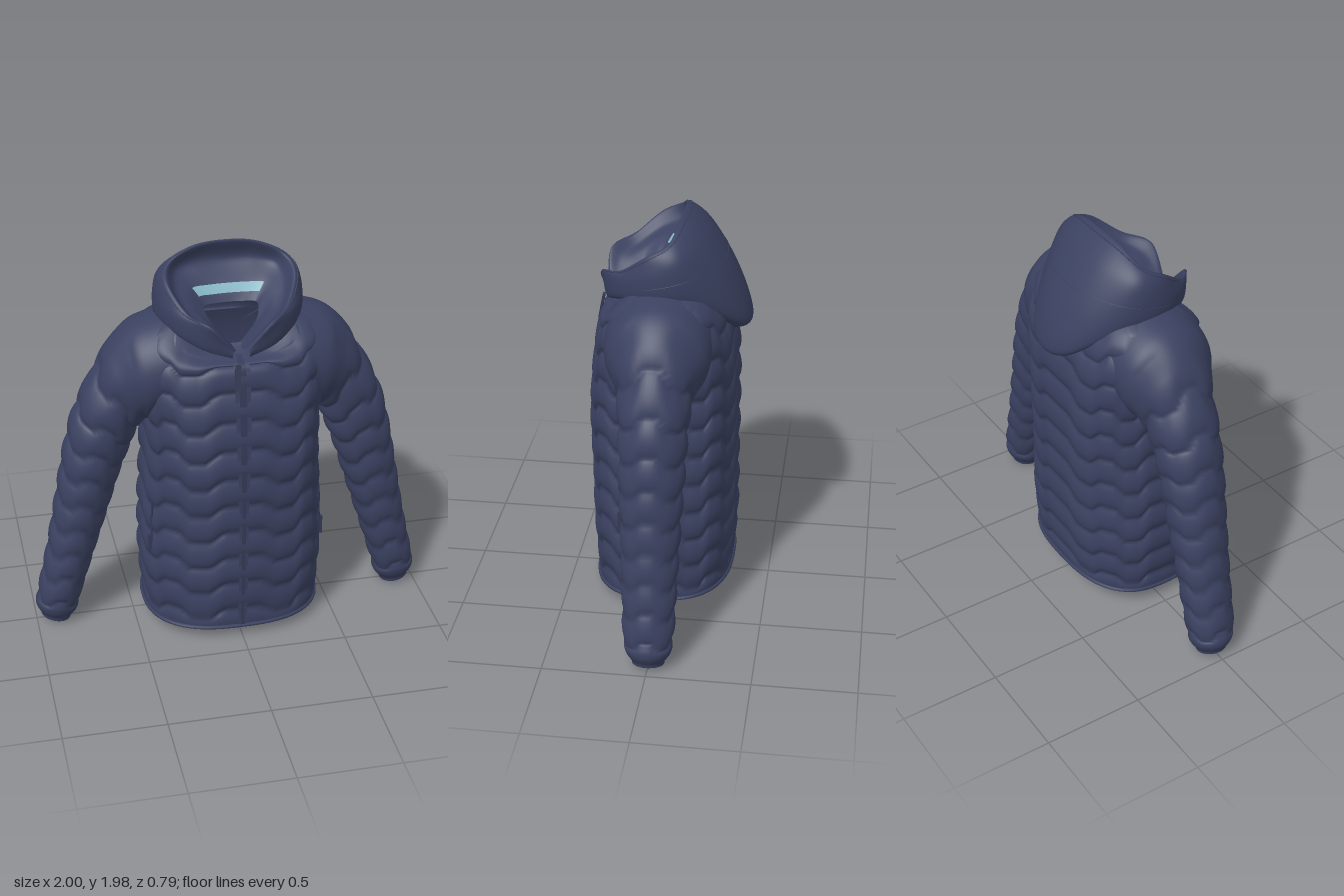
import * as THREE from 'three';

const mat = (name, color) => {
  const m = new THREE.MeshStandardMaterial({ color, side: THREE.DoubleSide });
  m.name = name;
  return m;
};
const { clamp, smoothstep } = THREE.MathUtils;

// Catmull-Rom through a list of equal-length arrays, t measured in list steps
function spline(keys, t) {
  const n = keys.length - 1;
  const i = Math.min(Math.floor(t), n - 1), f = t - i;
  const at = k => keys[clamp(k, 0, n)];
  const [a, b, c, d] = [at(i - 1), at(i), at(i + 1), at(i + 2)];
  return b.map((_, k) => 0.5 * (2 * b[k] + (c[k] - a[k]) * f
    + (2 * a[k] - 5 * b[k] + 4 * c[k] - d[k]) * f * f
    + (3 * b[k] - a[k] - 3 * c[k] + d[k]) * f * f * f));
}

// Smooth surface from fn(u, v) -> [x, y, z]; closed wraps around u
function sheet(fn, [u0, u1, nu], [v0, v1, nv], closed = false) {
  const pos = [], idx = [], cols = closed ? nu : nu + 1;
  for (let j = 0; j <= nv; j++)
    for (let i = 0; i < cols; i++)
      pos.push(...fn(u0 + (u1 - u0) * i / nu, v0 + (v1 - v0) * j / nv));
  for (let j = 0; j < nv; j++)
    for (let i = 0; i < nu; i++) {
      const a = j * cols + i, b = j * cols + (i + 1) % cols;
      idx.push(a, b, b + cols, a, b + cols, a + cols);
    }
  const g = new THREE.BufferGeometry();
  g.setAttribute('position', new THREE.Float32BufferAttribute(pos, 3));
  g.setIndex(idx);
  g.computeVertexNormals();
  return g;
}

// Padded quilt: 0 in the stitched line, 1 on the puff, fuller towards the bottom
function puff(phase) {
  const f = phase - Math.floor(phase);
  return Math.pow(Math.sin(Math.PI * Math.pow(f, 0.8)), 0.6);
}
const wave = a => clamp(1.7 * Math.cos(a), -1, 1);

// Torso sections: height, half width, front z, back z
const torso = [
  [0.085, 0.445, 0.365, 0.315], [0.35, 0.465, 0.385, 0.335], [0.65, 0.46, 0.39, 0.335],
  [0.95, 0.44, 0.395, 0.335], [1.2, 0.44, 0.38, 0.33], [1.4, 0.465, 0.355, 0.315],
  [1.54, 0.455, 0.325, 0.28], [1.63, 0.41, 0.275, 0.22], [1.7, 0.27, 0.2, 0.12],
];
function torsoPoint(u, t, padded = true, lift = 0) {
  let [y, w, zf, zb] = spline(torso, t);
  const s = Math.sin(u), c = Math.cos(u);
  const front = Math.max(0, c);
  const pad = smoothstep(y, 0.1, 0.16) * (1 - smoothstep(y, 1.55, 1.66));
  const q = padded ? puff((y - 0.028 * wave(8 * u)) / 0.15) : 0.75;
  const out = lift - 0.024 * (1 - q) * pad;
  const e = 0.77 - 0.13 * smoothstep(y, 0.6, 1.2);             // boxier at the chest
  const x = w * Math.sign(s) * Math.abs(s) ** e;
  const z = (c > 0 ? zf : -zb) * Math.abs(c) ** e;
  y -= 0.13 * front ** 4 * smoothstep(y, 1.46, 1.7);           // neckline dips in front
  y -= 0.02 * c * (1 - smoothstep(y, 0.05, 0.3));              // hem drops in front
  return [x + s * out, y, z + c * out];
}

// Sleeve sections from shoulder to turned-in cuff: outer x, y, inner x, y, half depth
const sleeve = [
  [0.27, 1.7, 0.4, 1.2, 0.26], [0.475, 1.64, 0.42, 1.15, 0.245], [0.595, 1.525, 0.44, 1.12, 0.2],
  [0.685, 1.375, 0.46, 1.08, 0.178], [0.77, 1.2, 0.49, 1.0, 0.168], [0.825, 1.0, 0.54, 0.87, 0.16],
  [0.875, 0.74, 0.61, 0.65, 0.147], [0.93, 0.45, 0.69, 0.4, 0.135], [0.985, 0.2, 0.765, 0.16, 0.125],
  [1.0, 0.11, 0.79, 0.07, 0.11], [0.98, 0.058, 0.82, 0.03, 0.082], [0.972, 0.04, 0.832, 0.01, 0.075],
  [0.95, 0.1, 0.85, 0.08, 0.06],
];
function sleevePoint(side, a, t) {
  const [ox, oy, ix, iy, d] = spline(sleeve, t);
  const cx = (ox + ix) / 2, cy = (oy + iy) / 2;
  const q = puff((cy - 0.02 * wave(4 * a)) / 0.14);
  const k = 1 - 0.13 * (1 - q) * smoothstep(t, 0.8, 2.2) * (1 - smoothstep(t, 8.3, 8.9));
  const c = Math.cos(a) * k, s = Math.sin(a) * k;
  return [side * (cx + (ox - ix) / 2 * c), cy + (oy - iy) / 2 * c, 0.02 - 0.02 * Math.min(t / 9, 1) + d * s];
}

// Hood rows, front closure to middle of the back, from under the hood up to the rim
const hoodOuter = [
  [[.03, 1.54, .23], [.14, 1.57, .2], [.22, 1.63, .11], [.25, 1.64, 0], [.2, 1.56, -.16], [.11, 1.44, -.29], [0, 1.4, -.325]],
  [[.04, 1.54, .3], [.17, 1.58, .27], [.28, 1.63, .15], [.33, 1.64, 0], [.275, 1.58, -.2], [.155, 1.49, -.345], [0, 1.46, -.392]],
  [[.04, 1.55, .315], [.19, 1.61, .285], [.31, 1.65, .16], [.36, 1.68, 0], [.315, 1.69, -.16], [.18, 1.69, -.275], [0, 1.69, -.315]],
  [[.04, 1.57, .32], [.18, 1.68, .3], [.3, 1.73, .18], [.352, 1.79, .04], [.325, 1.85, -.08], [.18, 1.885, -.16], [0, 1.89, -.185]],
  [[.03, 1.58, .31], [.14, 1.71, .32], [.24, 1.75, .22], [.31, 1.85, .09], [.28, 1.91, -.015], [.15, 1.97, -.05], [0, 1.985, -.06]],
];
const hoodLining = [
  [[.02, 1.57, .28], [.12, 1.67, .27], [.21, 1.72, .19], [.26, 1.79, .08], [.24, 1.85, -.04], [.13, 1.88, -.08], [0, 1.88, -.09]],
  [[.02, 1.56, .25], [.1, 1.65, .22], [.17, 1.71, .15], [.2, 1.76, .08], [.175, 1.785, .015], [.1, 1.785, -.005], [0, 1.785, -.01]],
  [[.01, 1.55, .18], [.06, 1.6, .17], [.11, 1.66, .15], [.13, 1.7, .1], [.12, 1.71, .06], [.06, 1.71, .045], [0, 1.71, .04]],
];
const hoodRows = [...hoodOuter, ...hoodLining].map(row =>
  [...row, ...row.slice(0, -1).reverse().map(([x, y, z]) => [-x, y, z])]);
const hoodPoint = (u, v) => spline(hoodRows.map(r => spline(r, u)), v);

export function createModel() {
  const navy = mat('navy fabric', 0x3a4160);
  const trim = mat('dark navy trim', 0x343a56);
  const tape = mat('pale blue neck tape', 0x86b6c4);
  const jacket = new THREE.Group();
  jacket.name = 'jacket';
  const add = (name, geometry, material) => {
    const m = new THREE.Mesh(geometry, material);
    m.name = name;
    jacket.add(m);
    return m;
  };
  const cord = (points, r, closed = false) => new THREE.TubeGeometry(
    new THREE.CatmullRomCurve3(points.map(p => new THREE.Vector3(...p)), closed), 80, r, 6, closed);
  const steps = (n, fn) => Array.from({ length: n + 1 }, (_, i) => fn(i / n));

  // Quilted torso, smooth lining and hem
  add('torso', sheet((u, t) => torsoPoint(u, t), [0, 2 * Math.PI, 176], [0, 8, 160], true), navy);
  add('lining', sheet((u, t) => torsoPoint(u, t, false, -0.03), [0, 2 * Math.PI, 64], [0, 6, 24], true), navy);
  add('hem', cord(steps(39, k => torsoPoint(k * 2 * Math.PI * 39 / 40, 0)), 0.011, true), navy);

  // Front zip: flat placket with a narrow zip line and a hanging pull
  add('zipPlacket', sheet((u, t) => torsoPoint(u, t, false, 0.002), [-0.02, 0.02, 6], [0, 7.3, 60]), navy);
  add('zipLine', sheet((u, t) => torsoPoint(u, t, false, 0.005), [-0.006, 0.006, 2], [0, 7.3, 60]), trim);
  const pull = add('zipPull', new THREE.BoxGeometry(0.026, 0.13, 0.012), trim);
  pull.position.set(...torsoPoint(-0.01, 5.35, false, 0.012));
  pull.rotation.set(-0.2, 0, -0.06);

  for (const side of [1, -1]) {
    const label = side > 0 ? 'left' : 'right';
    // Quilted sleeve ending in a gathered cuff
    add(label + 'Sleeve', sheet((a, t) => sleevePoint(side, a, t),
      [0, 2 * Math.PI, 56], [0, 12, 180], true), navy);
    // Hand pocket zip and pull
    add(label + 'PocketZip', cord(steps(8, k => torsoPoint(side * 1.13, 1.45 + 0.85 * k, false, 0.004)), 0.006), trim);
    const tab = add(label + 'PocketPull', new THREE.BoxGeometry(0.012, 0.1, 0.016), trim);
    tab.position.set(...torsoPoint(side * 1.13, 1.55, false, 0.014));
  }

  // Hood shell and lining, with stitched seams and neck tape
  add('hood', sheet(hoodPoint, [0, 12, 96], [0, 7, 56]), navy);
  add('hoodRimSeam', cord(steps(40, k => hoodPoint(k * 12, 3.7)), 0.003), navy);
  add('hoodBackSeam', cord(steps(40, k => hoodPoint(2.5 + k * 7, 2.4)), 0.002), navy);
  add('neckTape', sheet((u, v) => {
    const [x, y, z] = hoodPoint(u, v);
    return [x, y + 0.003, z + 0.005];
  }, [4, 8, 24], [6, 6.45, 5]), tape);

  return jacket;
}
